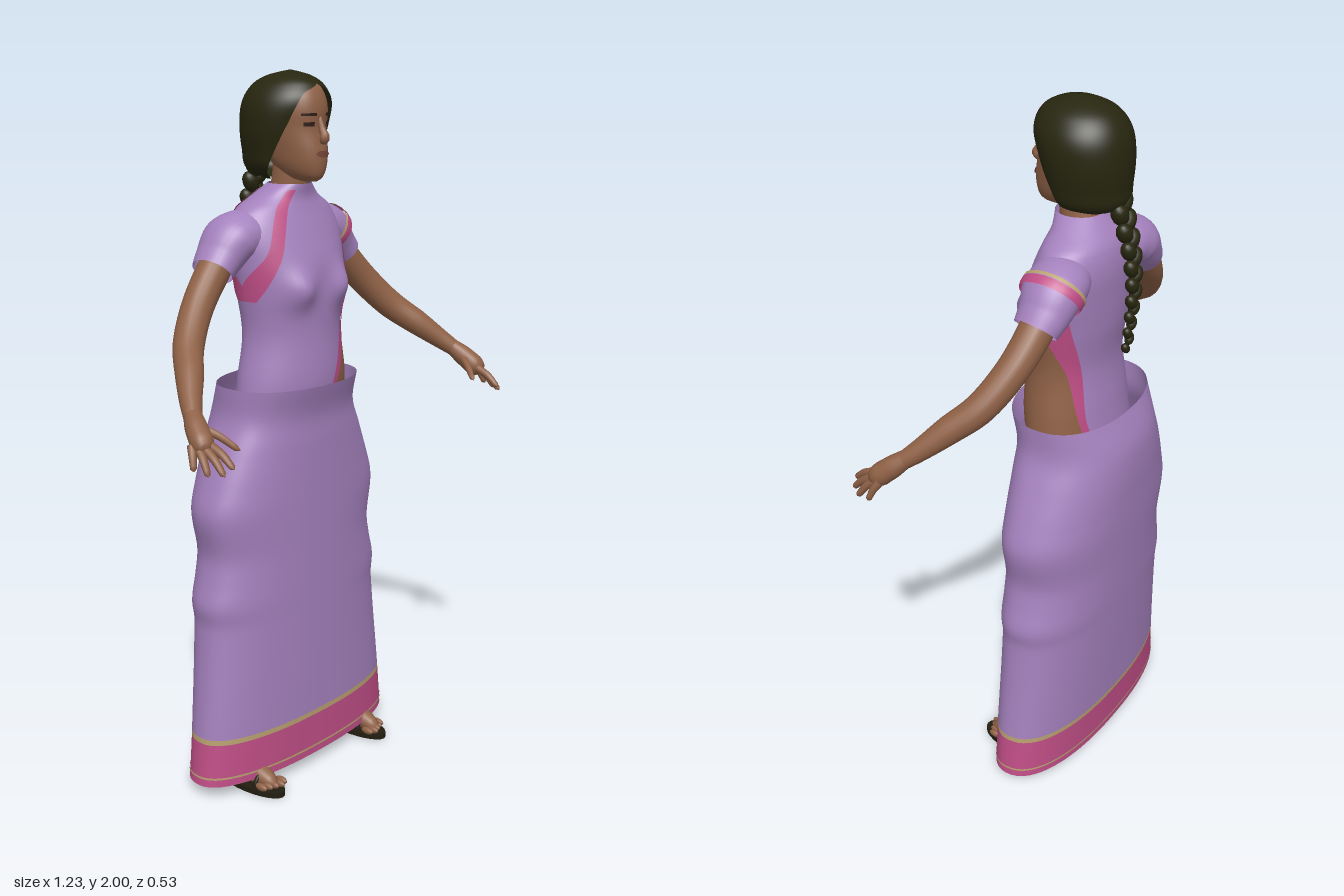
import * as THREE from 'three';
import { mergeVertices } from 'three/addons/utils/BufferGeometryUtils.js';

const mat = (name, color, side = THREE.FrontSide) => {
  const m = new THREE.MeshStandardMaterial({ color, side });
  m.name = name;
  return m;
};

// Smooth interpolation of rows [y, ...values]
function at(rows, y) {
  let i = 0;
  while (i < rows.length - 2 && y > rows[i + 1][0]) i++;
  const p = rows[i], q = rows[i + 1], o = rows[i - 1] || p, r = rows[i + 2] || q;
  const h = q[0] - p[0], t = THREE.MathUtils.clamp((y - p[0]) / h, 0, 1), t2 = t * t, t3 = t2 * t;
  return p.slice(1).map((v, k) => {
    const w = q[k + 1];
    const m0 = (w - o[k + 1]) / (q[0] - o[0]) * h, m1 = (r[k + 1] - v) / (r[0] - p[0]) * h;
    return (2 * t3 - 3 * t2 + 1) * v + (t3 - 2 * t2 + t) * m0 + (3 * t2 - 2 * t3) * w + (t3 - t2) * m1;
  });
}

// Body surface from rows [y, half width, front z, back z, widest z]; angle 0 is the front, +90 degrees is +x
const body = (rows, e = 1, bump = () => 0) => (a, y, off) => {
  const [rx, zf, zb, zc] = at(rows, y);
  const s = Math.sin(a), c = Math.cos(a);
  const x = (rx + off) * Math.sign(s) * Math.abs(s) ** e;
  const d = c > 0 ? zf - zc + off : zc - zb + off;
  return [x, y, zc + d * Math.sign(c) * Math.abs(c) ** e + (c > 0 ? bump(x, y) * c : 0)];
};

// Grid on a body surface between two edge angles, which may vary with height
function patch(f, y0, y1, edges, ny, na, off = 0) {
  const pos = [], idx = [];
  for (let i = 0; i <= ny; i++) {
    const y = y0 + (y1 - y0) * i / ny, [a0, a1] = edges(y);
    for (let j = 0; j <= na; j++) pos.push(...f(a0 + (a1 - a0) * j / na, y, off));
  }
  for (let i = 0; i < ny; i++) for (let j = 0; j < na; j++) {
    const p = i * (na + 1) + j, q = p + na + 1;
    idx.push(p, p + 1, q + 1, p, q + 1, q);
  }
  let g = new THREE.BufferGeometry();
  g.setAttribute('position', new THREE.Float32BufferAttribute(pos, 3));
  g.setIndex(idx);
  g = mergeVertices(g, 1e-5);
  g.computeVertexNormals();
  return g;
}
const around = () => [-Math.PI, Math.PI];

// Tube with a radius per point, rows [x, y, z, radius]
function limb(rows, n = 24, sides = 16, zScale = 1) {
  const curve = new THREE.CatmullRomCurve3(rows.map(r => new THREE.Vector3(r[0], r[1], r[2])));
  let g = new THREE.TubeGeometry(curve, n, 1, sides);
  const p = g.attributes.position, v = new THREE.Vector3();
  for (let i = 0; i < p.count; i++) {
    const u = Math.floor(i / (sides + 1)) / n, k = curve.getUtoTmapping(u) * (rows.length - 1);
    const j = Math.min(Math.floor(k), rows.length - 2), c = curve.getPointAt(u);
    const r = THREE.MathUtils.lerp(rows[j][3], rows[j + 1][3], k - j);
    v.fromBufferAttribute(p, i).sub(c).multiplyScalar(r);
    p.setXYZ(i, c.x + v.x, c.y + v.y, c.z + v.z * zScale);
  }
  g.deleteAttribute('uv');
  g.deleteAttribute('normal');
  g = mergeVertices(g, 1e-5);
  g.computeVertexNormals();
  return g;
}

export function createModel() {
  const root = new THREE.Group();
  root.name = 'woman';
  const lilac = mat('lilac cloth', 0xa481bd, THREE.DoubleSide), pink = mat('pink border', 0xbf4e86, THREE.DoubleSide);
  const gold = mat('gold trim', 0xb8a070, THREE.DoubleSide), skin = mat('skin', 0x8f6146, THREE.DoubleSide);
  const dark = mat('black hair', 0x27260f, THREE.DoubleSide), sole = mat('sandal', 0x221d10);
  const lip = mat('lips', 0x774538, THREE.DoubleSide), eye = mat('eyes', 0x2e1d16, THREE.DoubleSide);
  const add = (name, geo, m, parent = root) => {
    const mesh = new THREE.Mesh(geo, m);
    mesh.name = name;
    parent.add(mesh);
    return mesh;
  };
  const mirrored = (s, rows) => rows.map(([x, ...r]) => [x * s, ...r]);

  // Skirt with banded hem
  const skirt = body([
    [0.04, .39, .055, -.215, -.07], [0.17, .375, .055, -.22, -.07], [0.5, .338, .055, -.24, -.08],
    [0.56, .344, .055, -.244, -.08], [0.63, .325, .055, -.248, -.08], [0.7, .312, .055, -.252, -.08],
    [0.82, .33, .055, -.26, -.08], [0.9, .305, .055, -.264, -.08], [1.0, .262, .055, -.268, -.08],
    [1.08, .228, .056, -.262, -.08], [1.165, .225, .08, -.23, -.08]], 0.88);
  add('skirt', patch(skirt, .18, 1.165, around, 60, 72), lilac);
  add('skirtHem', patch(skirt, .04, .165, around, 4, 72), pink);
  add('hemTrim', patch(skirt, .165, .18, around, 1, 72), gold);
  add('hemLine', patch(skirt, .062, .068, around, 1, 72, .002), gold);

  // Blouse, bare left side and borders
  const bust = (x, y) => .036 * Math.exp(-(((Math.abs(x) - .085) / .045) ** 2) - ((y - 1.43) / .05) ** 2);
  const torso = body([
    [1.08, .19, .045, -.19, -.07], [1.17, .18, .06, -.18, -.07], [1.3, .16, .055, -.168, -.07],
    [1.42, .174, .056, -.185, -.07], [1.5, .185, .05, -.192, -.08], [1.58, .19, .022, -.195, -.09],
    [1.64, .158, -.002, -.185, -.09], [1.67, .108, -.01, -.165, -.085], [1.705, .058, -.005, -.13, -.065]], 1, bust);
  add('blouse', patch(torso, 1.08, 1.705, around, 60, 72), lilac);
  const frontLeft = [[1.12, .12, .2], [1.17, .22, .35], [1.3, .57, .9], [1.42, .78, 1.52], [1.48, .95, 1.57], [1.6, 1.25, 1.6]];
  const backLeft = [[1.12, 2.45, 2.58], [1.17, 2.35, 2.5], [1.3, 2.1, 2.42], [1.42, 1.62, 2.2], [1.48, 1.57, 2.1], [1.6, 1.57, 1.9]];
  const frontRight = [[1.4, -1.6, -1.3], [1.44, -1.6, -1.05], [1.53, -.92, -.66], [1.62, -.72, -.48], [1.69, -.75, -.45]];
  const backRight = [[1.4, -1.9, -1.55], [1.44, -2.2, -1.58], [1.5, -2.35, -2.0], [1.6, -2.55, -2.3], [1.69, -2.5, -2.2]];
  add('bareSide', patch(torso, 1.12, 1.42, y => [at(frontLeft, y)[1], at(backLeft, y)[0]], 30, 24, .003), skin);
  for (const [name, rows] of Object.entries({ frontLeft, backLeft, frontRight, backRight }))
    add(name + 'Border', patch(torso, rows[0][0], rows.at(-1)[0], y => at(rows, y), 36, 14, .004), pink);
  add('shoulderBand', limb([[.188, 1.564, -.11, .073], [.198, 1.557, -.11, .073], [.208, 1.55, -.11, .071]], 4, 28, 1.2), pink);
  add('shoulderTrim', limb([[.18, 1.567, -.11, .073], [.188, 1.562, -.11, .0735]], 2, 28, 1.2), gold);

  // Sleeves, arms and hands
  for (const s of [1, -1]) {
    const side = s > 0 ? 'left' : 'right';
    add(side + 'Sleeve', limb(mirrored(s, [[.1, 1.575, -.1, .055], [.145, 1.575, -.105, .067], [.19, 1.56, -.11, .069],
      [.23, 1.52, -.11, .058], [.262, 1.487, -.105, .051]]), 24, 28, 1.2), lilac);
    const arm = new THREE.Group();
    arm.name = side + 'Arm';
    root.add(arm);
    add('arm', limb(mirrored(s, [[.2, 1.55, -.11, .045], [.265, 1.48, -.105, .046], [.34, 1.4, -.085, .043],
      [.415, 1.318, -.04, .041], [.47, 1.262, .02, .037], [.515, 1.215, .07, .029], [.542, 1.185, .105, .024]]), 32, 18), skin, arm);
    add('palm', limb(mirrored(s, [[.535, 1.195, .095, .022], [.555, 1.165, .13, .029], [.57, 1.135, .165, .031],
      [.578, 1.118, .182, .02], [.58, 1.113, .187, .002]]), 14, 14), skin, arm);
    const fingers = [[.59, 1.13, .15, .612, 1.075, .178], [.585, 1.125, .168, .603, 1.068, .22],
      [.575, 1.125, .18, .58, 1.07, .252], [.56, 1.13, .185, .557, 1.085, .262], [.548, 1.165, .13, .492, 1.11, .218]];
    for (const [x, y, z, X, Y, Z] of fingers)
      add('finger', limb(mirrored(s, [[x, y, z, .012], [(x + X) / 2, (y + Y) / 2 + .006, (z + Z) / 2, .0105],
        [X * .9 + x * .1, Y * .9 + y * .1, Z * .9 + z * .1, .008], [X, Y, Z, .001]]), 10, 8), skin, arm);

    // Foot in a flat sandal
    const foot = new THREE.Group();
    foot.name = side + 'Foot';
    foot.position.set(.23 * s, 0, 0);
    root.add(foot);
    const base = add('sandalSole', new THREE.CylinderGeometry(1, 1, .016, 28), sole, foot);
    base.scale.set(.05, 1, .13);
    base.position.set(0, .008, -.02);
    add('foot', limb([[0, .045, -.14, .002], [0, .046, -.125, .03], [0, .052, -.06, .037], [0, .042, .02, .032],
      [0, .03, .07, .02], [0, .026, .085, .002]], 20, 14), skin, foot);
    add('ankle', limb([[0, .05, -.09, .034], [0, .12, -.09, .034], [-.01 * s, .4, -.09, .05]], 8, 14), skin, foot);
    for (let k = 0; k < 5; k++) {
      const toe = add('toe', new THREE.SphereGeometry(1, 10, 8), skin, foot);
      toe.scale.set(.0095, .011, .022);
      toe.position.set((k - 2) * .017 * s, .026, .078 - Math.abs(k - 1) * .007);
    }
    const strap = add('sandalStrap', new THREE.TorusGeometry(.038, .006, 8, 20, Math.PI), sole, foot);
    strap.position.set(0, .018, .035);
  }

  // Neck, head and face
  add('neck', limb([[0, 1.65, -.08, .055], [0, 1.71, -.066, .05], [0, 1.79, -.06, .048]], 10, 24), skin);
  const head = body([[1.712, .012, .028, -.02, 0], [1.722, .035, .043, -.06, -.02], [1.75, .056, .052, -.1, -.04],
    [1.79, .07, .053, -.14, -.06], [1.85, .082, .043, -.17, -.07], [1.9, .085, .046, -.17, -.07],
    [1.94, .078, .036, -.16, -.07], [1.965, .06, .015, -.13, -.07], [1.98, .03, -.03, -.1, -.065]], .95);
  add('head', patch(head, 1.712, 1.98, around, 40, 48), skin);
  add('nose', limb([[0, 1.88, .04, .006], [0, 1.85, .05, .009], [0, 1.828, .059, .014], [0, 1.818, .052, .011],
    [0, 1.814, .045, .002]], 16, 12), skin);
  add('lips', patch(head, 1.777, 1.794, y => [-.36, .36].map(a => a * (1 - Math.abs(y - 1.786) * 60)), 6, 12, .004), lip);
  for (const s of [1, -1]) {
    const span = (a, b) => () => s > 0 ? [a, b] : [-b, -a];
    add('eye', patch(head, 1.857, 1.868, span(.24, .58), 2, 8, .003), eye);
    add('eyebrow', patch(head, 1.884, 1.891, span(.18, .66), 2, 8, .003), eye);
  }

  // Hair cap, open at the face
  const hair = body([[1.715, .04, -.05, -.15, -.1], [1.74, .09, -.01, -.198, -.09], [1.79, .108, .01, -.207, -.085],
    [1.86, .119, .032, -.21, -.08], [1.92, .113, .05, -.2, -.08], [1.965, .084, .03, -.17, -.075],
    [1.988, .047, -.01, -.125, -.065], [2, .003, -.06, -.066, -.063]]);
  const hairline = [[1.715, 1.5], [1.74, 1.3], [1.79, 1.05], [1.86, .78], [1.92, .62], [1.945, .45], [1.966, 0], [2, 0]];
  add('hair', patch(hair, 1.715, 2, y => {
    const a = Math.max(0, at(hairline, y)[0]);
    return [a, 2 * Math.PI - a];
  }, 50, 56), dark);

  // Braid of alternating locks
  const path = [[1.32, -.213], [1.4, -.222], [1.52, -.232], [1.62, -.222], [1.75, -.185]];
  for (let k = 0; k < 18; k++) {
    const y = 1.745 - k * .0232, w = 1 - k * .03, s = k % 2 ? 1 : -1;
    const lock = add('braidLock', new THREE.SphereGeometry(1, 14, 10), dark);
    lock.scale.set(.024 * w, .034 * w, .024 * w);
    lock.position.set(.014 * w * s, y, at(path, y)[0]);
    lock.rotation.z = -.55 * s;
  }
  return root;
}
